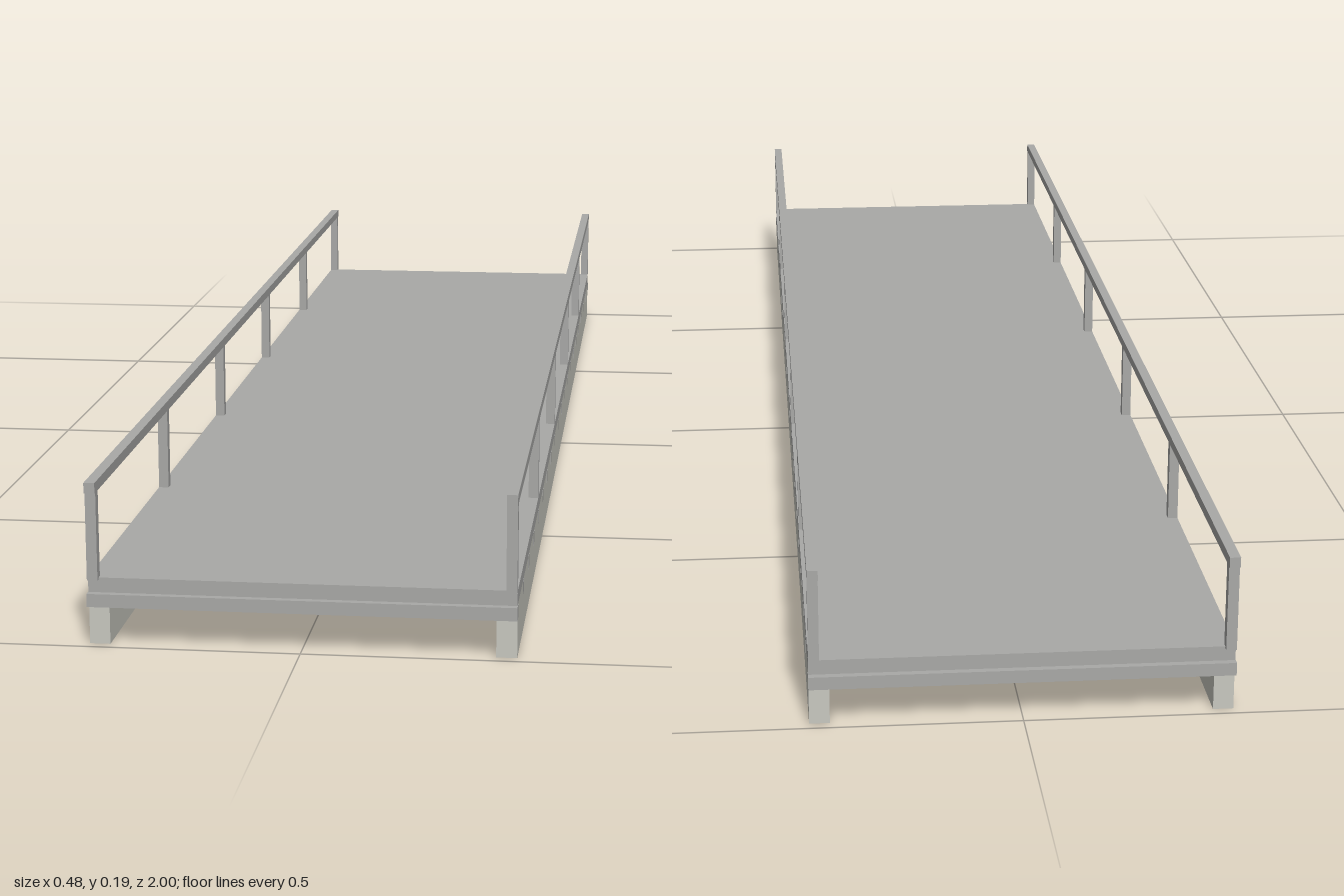
import * as THREE from 'three';

export function createModel() {
  const model = new THREE.Group();
  model.name = 'footbridge';

  const steel = new THREE.MeshStandardMaterial({ color: 0xa9a9a7 });
  steel.name = 'grey steel';
  const concrete = new THREE.MeshStandardMaterial({ color: 0xc8c8c0 });
  concrete.name = 'pale girder';

  const halfWidth = 0.2375;
  const postZ = 0.99;

  function box(name, material, w, h, d, x, y, z, parent = model) {
    const mesh = new THREE.Mesh(new THREE.BoxGeometry(w, h, d), material);
    mesh.name = name;
    mesh.position.set(x, y, z);
    parent.add(mesh);
    return mesh;
  }

  // Walking deck
  box('deck', steel, halfWidth * 2, 0.017, 1.98, 0, 0.0685, 0);

  // Cross beams under the deck, ends just proud of the girders
  const crossBeams = new THREE.Group();
  crossBeams.name = 'crossBeams';
  model.add(crossBeams);
  for (let i = 0; i <= 20; i++) {
    box('crossBeam', steel, halfWidth * 2 + 0.0008, 0.015, 0.016, 0, 0.0525, -postZ + i * postZ / 10, crossBeams);
  }

  for (const side of [1, -1]) {
    const label = side > 0 ? 'left' : 'right';

    // Longitudinal girder
    box(label + 'Girder', concrete, 0.023, 0.06, 1.976, side * (halfWidth - 0.0115), 0.03, 0);

    // Railing: six posts and a top rail
    const railing = new THREE.Group();
    railing.name = label + 'Railing';
    model.add(railing);
    const x = side * (halfWidth - 0.006);
    for (let i = 0; i < 6; i++) {
      box('post', steel, 0.012, 0.109, 0.012, x, 0.1295, -postZ + i * postZ * 0.4, railing);
    }
    box('topRail', steel, 0.0122, 0.012, 2, x, 0.181, 0, railing);
  }

  return model;
}
